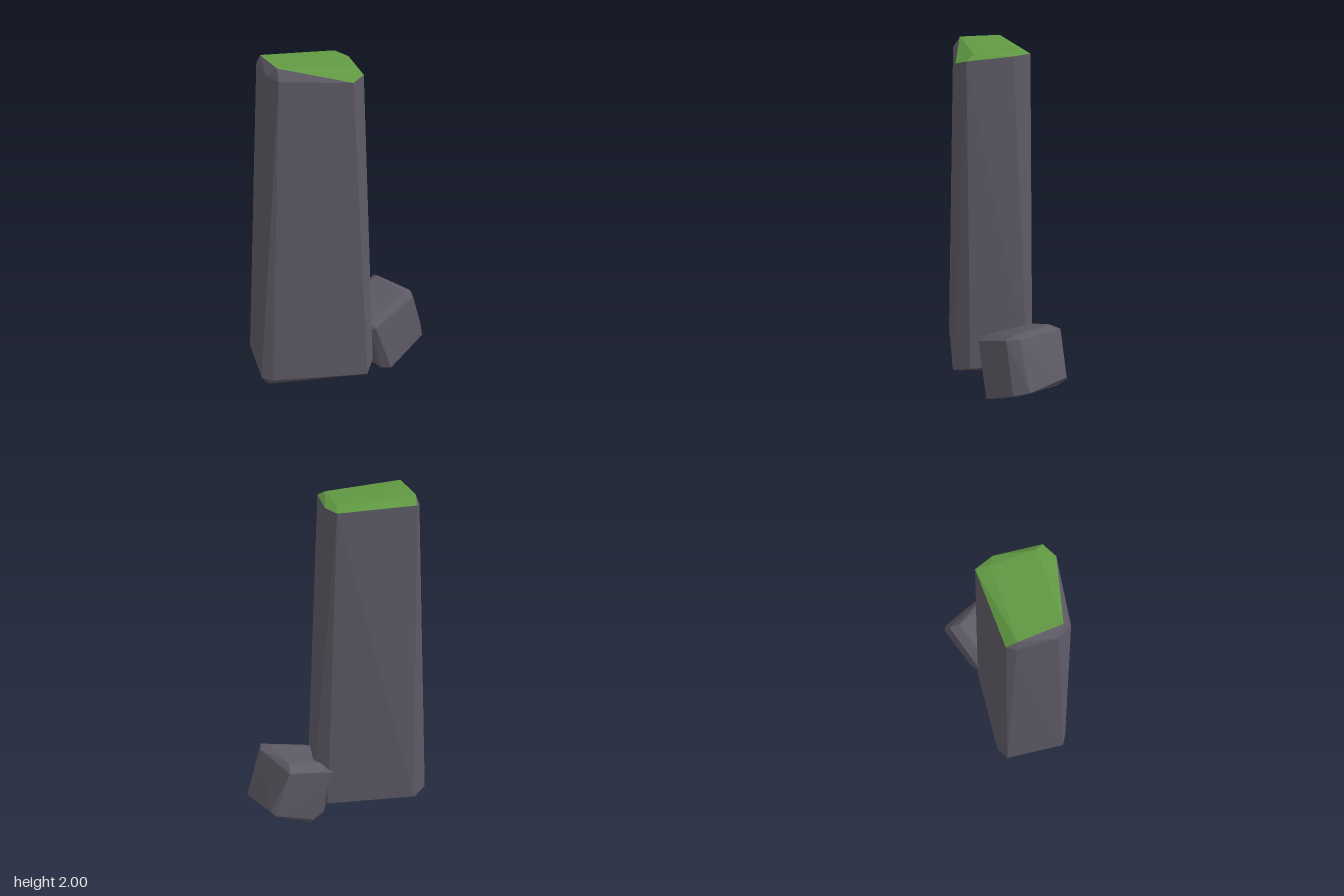
import * as THREE from 'three';
import { ConvexGeometry } from 'three/addons/geometries/ConvexGeometry.js';

const stone = new THREE.MeshStandardMaterial({ color: 0x5e5a66, flatShading: true });
const moss = new THREE.MeshStandardMaterial({ color: 0x619943, flatShading: true });

const hull = (points) => new ConvexGeometry(points.map((p) => new THREE.Vector3(...p)));

function addMesh(parent, name, geometry, material) {
  const mesh = new THREE.Mesh(geometry, material);
  mesh.name = name;
  parent.add(mesh);
}

// Splits a faceted solid into steep faces and faces that look mostly upward
function splitBySlope(geometry, limit) {
  const pos = geometry.getAttribute('position');
  const steep = [], flat = [];
  const tri = new THREE.Triangle(), normal = new THREE.Vector3();
  for (let i = 0; i < pos.count; i += 3) {
    tri.setFromAttributeAndIndices(pos, i, i + 1, i + 2);
    tri.getNormal(normal);
    const target = normal.y > limit ? flat : steep;
    for (const v of [tri.a, tri.b, tri.c]) target.push(v.x, v.y, v.z);
  }
  return [steep, flat].map((list) => {
    const g = new THREE.BufferGeometry();
    g.setAttribute('position', new THREE.Float32BufferAttribute(list, 3));
    g.computeVertexNormals();
    return g;
  });
}

export function createModel() {
  const group = new THREE.Group();
  group.name = 'mossyStonePillar';

  // Tall pillar: underside, widest ring, shoulder ring, top
  const underside = [
    [-0.48, 0.09, -0.09], [-0.48, 0.1, 0.2], [0.05, 0.12, 0.26], [0.08, 0.12, -0.1],
  ];
  const baseRing = [
    [-0.53, 0.18, -0.11], [-0.53, 0.18, 0.245], [-0.47, 0.17, 0.275], [0.08, 0.14, 0.305],
    [0.14, 0.17, 0.21], [0.15, 0.16, -0.12], [0.06, 0.14, -0.165], [-0.455, 0.14, -0.155],
  ];
  const shoulderRing = [
    [-0.445, 1.95, -0.05], [-0.435, 1.95, 0.16], [-0.385, 1.94, 0.235], [0, 1.91, 0.26],
    [0.07, 1.93, 0.207], [0.057, 1.95, -0.05], [0.005, 1.955, -0.15], [-0.425, 1.96, -0.097],
  ];
  const top = [
    [-0.425, 2, -0.04], [0, 1.972, -0.075], [0.035, 1.963, 0.165], [-0.385, 2, 0.195],
  ];
  const [body, cap] = splitBySlope(hull([...underside, ...baseRing, ...shoulderRing, ...top]), 0.7);
  addMesh(group, 'pillar', body, stone);
  addMesh(group, 'mossCap', cap, moss);

  // Small tilted boulder: a chamfered block given by the corners of its six faces
  const front = [[0.17, 0.35, 0.165], [0.435, 0.455, 0.045], [0.51, 0.16, 0.015], [0.28, 0.04, 0.135]];
  const right = [[0.44, 0.46, -0.03], [0.325, 0.44, -0.235], [0.405, 0.2, -0.295], [0.53, 0.18, -0.075]];
  const upper = [[0.39, 0.47, 0], [0.29, 0.48, -0.22], [0.06, 0.4, -0.12], [0.14, 0.37, 0.12]];
  const back = [[0.29, 0.45, -0.285], [0.375, 0.18, -0.31], [0.15, 0.05, -0.19], [0.03, 0.36, -0.165]];
  const lower = [[0.27, 0.03, 0.1], [0.5, 0.15, -0.02], [0.37, 0.14, -0.26], [0.16, 0, -0.15]];
  const left = [[0.135, 0.33, 0.15], [0.22, 0.04, 0.12], [0.08, 0.06, -0.13], [0.04, 0.33, -0.14]];
  addMesh(group, 'boulder', hull([...front, ...right, ...upper, ...back, ...lower, ...left]), stone);

  return group;
}
